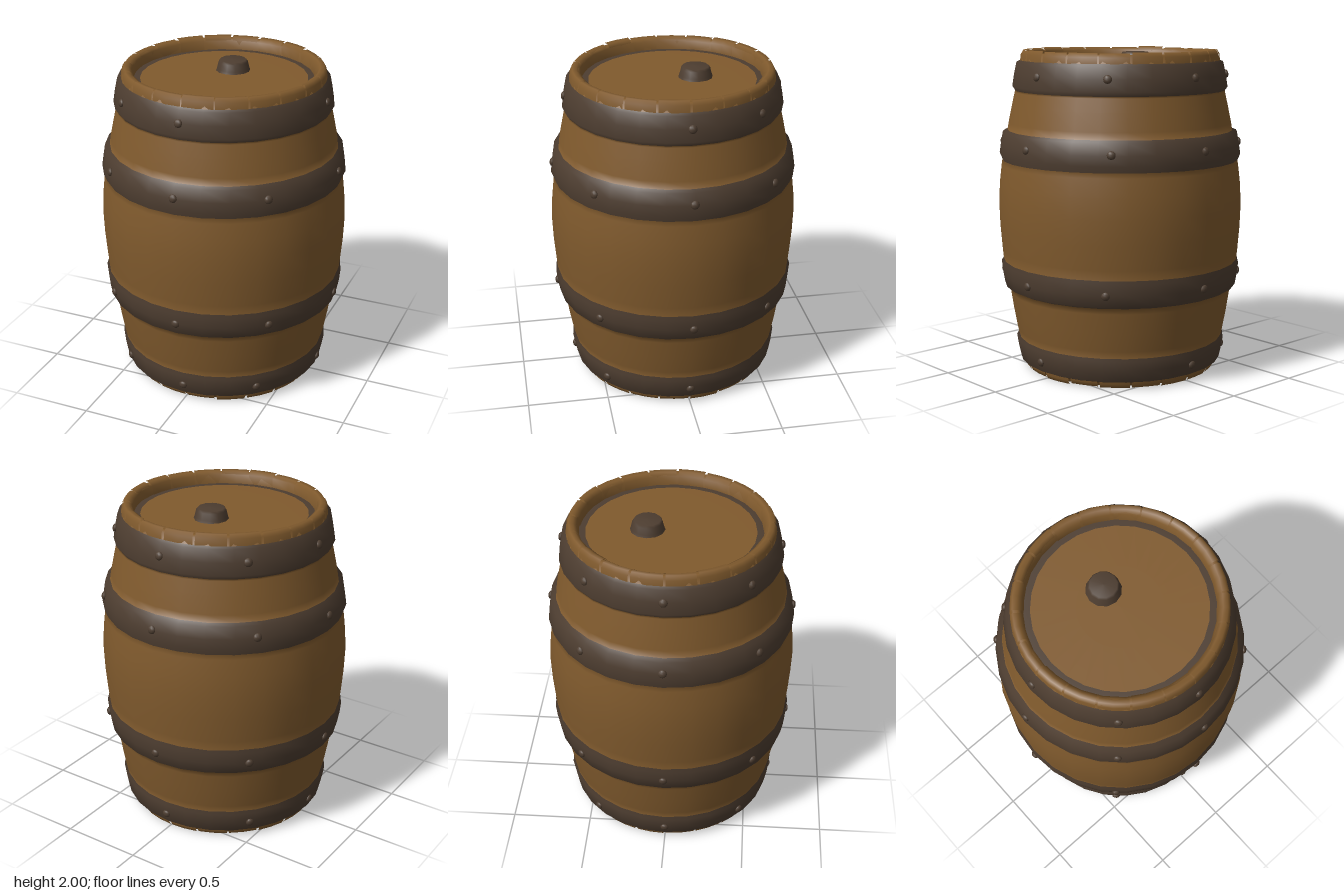
import * as THREE from 'three';

const SIDES = 28;
const wood = new THREE.MeshStandardMaterial({ color: 0x805a2d });
wood.name = 'wood';
const iron = new THREE.MeshStandardMaterial({ color: 0x4d3d30 });
iron.name = 'darkIron';
const W = 0, I = 1;

// Seeded random numbers for the uneven staves
function seeded(seed) {
  return () => {
    seed = (seed * 16807) % 2147483647;
    return seed / 2147483647;
  };
}

// Lathe from [radius, y, colour of the strip that starts here], one smooth skin in two colours
function paintedLathe(profile) {
  const geometry = new THREE.LatheGeometry(profile.map(([r, y]) => new THREE.Vector2(r, y)), SIDES);
  const source = geometry.index.array;
  const strips = profile.length - 1;
  const parts = [[], []];
  for (let i = 0; i < SIDES; i++) {
    for (let j = 0; j < strips; j++) {
      const start = (i * strips + j) * 6;
      parts[profile[j][2]].push(...source.slice(start, start + 6));
    }
  }
  geometry.setIndex([...parts[W], ...parts[I]]);
  geometry.addGroup(0, parts[W].length, W);
  geometry.addGroup(parts[W].length, parts[I].length, I);
  return geometry;
}

function add(parent, name, geometry, material) {
  const mesh = new THREE.Mesh(geometry, material);
  mesh.name = name;
  parent.add(mesh);
  return mesh;
}

// One end of the barrel: rounded stave tips with narrow, uneven joints
function staveTips(name, seed) {
  const group = new THREE.Group();
  group.name = name;
  const random = seeded(seed);
  const count = 20, step = (Math.PI * 2) / count;
  for (let i = 0; i < count; i++) {
    const top = i % 4 === 0 ? 2 : 2 - random() * 0.008;
    const gap = 0.012 + random() * 0.02;
    const inner = 0.542 + random() * 0.012;
    const points = [[0.622, 1.93], [0.617, top - 0.025], [0.602, top], [0.575, top - 0.003],
      [inner + 0.004, top - 0.022], [inner, 1.92]].map(([r, y]) => new THREE.Vector2(r, y));
    add(group, 'staveTip', new THREE.LatheGeometry(points, 2, i * step + gap / 2, step - gap), wood);
  }
  return group;
}

export function createModel() {
  const model = new THREE.Group();
  model.name = 'barrel';

  // Hollow inside, bottom rim, bulging wall with four hoops, top rim
  const body = [
    [0, 1.88, I], [0.53, 1.88, I], [0.63, 1.45, I], [0.66, 1.0, I], [0.63, 0.55, I],
    [0.545, 0.08, W], [0.555, 0.025, W], [0.575, 0.014, W], [0.6, 0.014, W], [0.612, 0.03, W],
    [0.618, 0.04, I],
    // bottom hoop
    [0.64, 0.05, I], [0.655, 0.12, I], [0.665, 0.18, I], [0.65, 0.195, W],
    [0.66, 0.24, W], [0.682, 0.36, W], [0.7, 0.48, W], [0.705, 0.515, I],
    // lower middle hoop
    [0.735, 0.53, I], [0.748, 0.6, I], [0.755, 0.67, I], [0.742, 0.69, W],
    [0.748, 0.75, W], [0.76, 0.9, W], [0.765, 1.05, W], [0.758, 1.18, W], [0.745, 1.29, W],
    [0.74, 1.32, I],
    // upper middle hoop
    [0.757, 1.36, I], [0.748, 1.42, I], [0.735, 1.495, I], [0.705, 1.505, W],
    [0.698, 1.55, W], [0.675, 1.66, W], [0.657, 1.74, W], [0.655, 1.75, I],
    // top hoop
    [0.672, 1.775, I], [0.66, 1.85, I], [0.644, 1.925, I], [0.622, 1.935, W],
    [0.612, 1.975, W], [0.6, 1.986, W], [0.575, 1.986, W], [0.555, 1.975, W], [0.547, 1.92, W],
  ];
  add(model, 'barrelBody', paintedLathe(body), [wood, iron]);
  model.add(staveTips('topStaveTips', 11));
  const bottom = staveTips('bottomStaveTips', 47);
  bottom.rotation.x = Math.PI;
  bottom.position.y = 2;
  model.add(bottom);

  // Sunken lid with a dark border
  const lid = [[0.55, 1.92, I], [0.508, 1.921, W], [0.25, 1.921, W], [0, 1.921, W]];
  add(model, 'lid', paintedLathe(lid), [wood, iron]);

  // Bung set towards the back of the lid
  const bungProfile = [[0.108, 1.915], [0.1, 1.935], [0.09, 1.975], [0.08, 1.988], [0, 1.992]];
  const bung = add(model, 'bung',
    new THREE.LatheGeometry(bungProfile.map(([r, y]) => new THREE.Vector2(r, y)), 12), iron);
  bung.position.z = -0.14;

  // Rivets around each hoop: height, surface radius, tilt, skipped position
  const rivet = new THREE.SphereGeometry(0.026, 10, 6);
  const hoops = [[0.11, 0.653, 0.13, 3], [0.6, 0.748, 0.09, -1],
    [1.425, 0.747, -0.16, -1], [1.85, 0.66, -0.21, 1]];
  const random = seeded(5);
  for (const [y, r, tilt, skipped] of hoops) {
    const ring = new THREE.Group();
    ring.name = 'hoopRivets';
    for (let i = 0; i < 8; i++) {
      const jitter = i % 2 ? (random() - 0.5) * 0.08 : 0;
      if (i === skipped) continue;
      const angle = (i * Math.PI) / 4 + jitter - (i % 2 ? Math.sign(4 - i) * 0.03 : 0);
      const mesh = add(ring, 'rivet', rivet, iron);
      mesh.position.set(Math.sin(angle) * r, y, Math.cos(angle) * r);
      mesh.rotation.set(tilt, angle, 0, 'YXZ');
      mesh.scale.z = 0.6;
    }
    model.add(ring);
  }
  return model;
}
